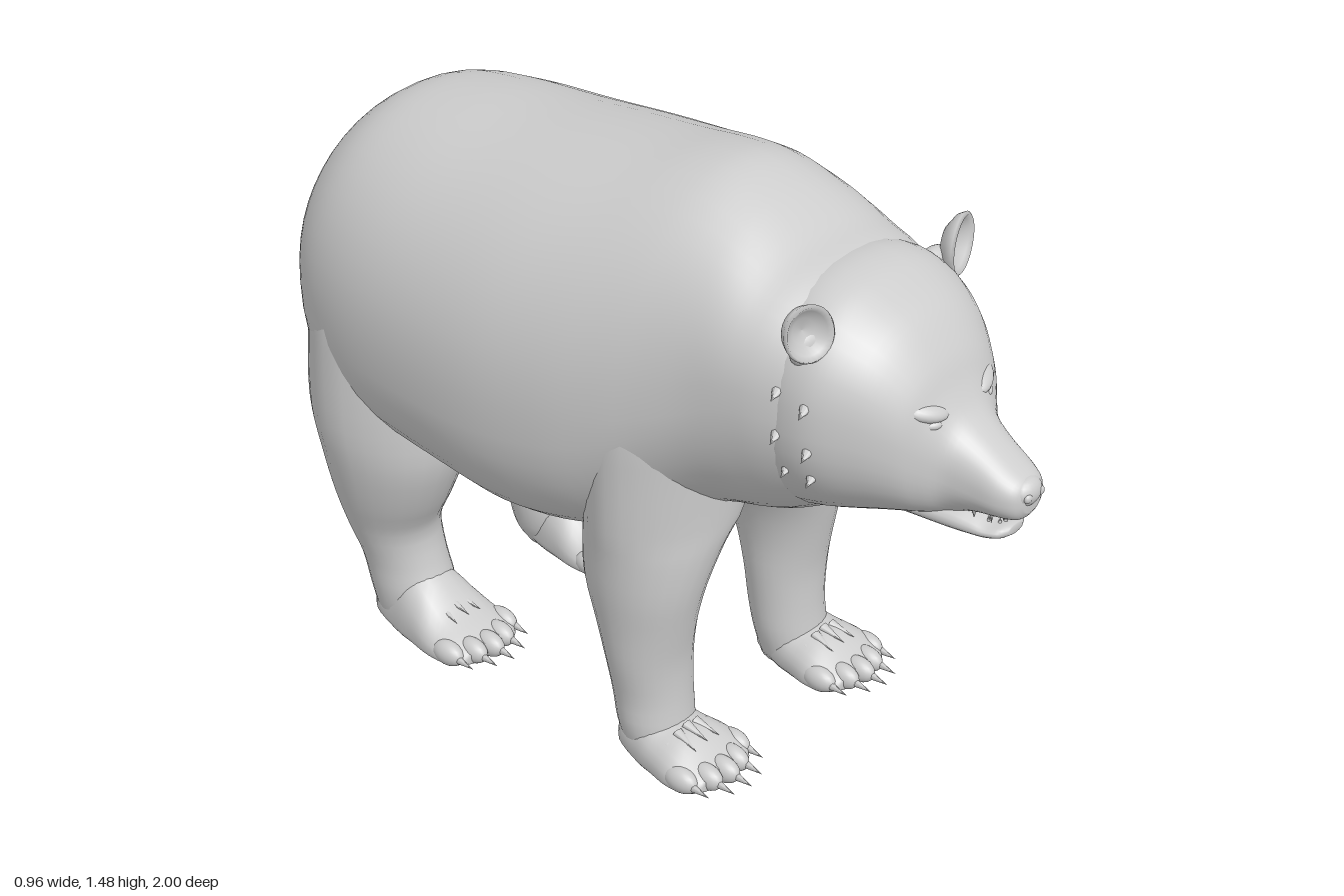
import * as THREE from 'three';

const fur = new THREE.MeshStandardMaterial({ color: 0xcccccc, side: THREE.DoubleSide });

// Smoothly interpolates rows of section numbers
function refine(rows, sub) {
  const out = [];
  for (let i = 0; i < rows.length - 1; i++) {
    const a = rows[Math.max(i - 1, 0)], b = rows[i], c = rows[i + 1], d = rows[Math.min(i + 2, rows.length - 1)];
    for (let k = 0; k < sub; k++) {
      const t = k / sub;
      out.push(b.map((_, n) => b[n] + 0.5 * t * (c[n] - a[n] +
        t * (2 * a[n] - 5 * b[n] + 4 * c[n] - d[n] + t * (3 * (b[n] - c[n]) + d[n] - a[n])))));
    }
  }
  out.push(rows[rows.length - 1]);
  return out;
}

// Skins rings of points and closes both ends
function skin(rows, segs, point) {
  const pos = [], idx = [], last = rows.length - 1;
  rows.forEach((r) => {
    for (let j = 0; j < segs; j++) pos.push(...point(r, (j / segs) * Math.PI * 2));
  });
  for (let i = 0; i < last; i++) {
    for (let j = 0; j < segs; j++) {
      const k = (j + 1) % segs, a = i * segs, b = a + segs;
      idx.push(a + j, a + k, b + k, a + j, b + k, b + j);
    }
  }
  [0, last].forEach((i) => {
    const c = pos.length / 3, mid = [0, 0, 0];
    for (let j = 0; j < segs; j++) for (let n = 0; n < 3; n++) mid[n] += pos[(i * segs + j) * 3 + n] / segs;
    pos.push(...mid);
    for (let j = 0; j < segs; j++) {
      const a = i * segs + j, b = i * segs + ((j + 1) % segs);
      idx.push(c, i ? a : b, i ? b : a);
    }
  });
  const g = new THREE.BufferGeometry();
  g.setAttribute('position', new THREE.Float32BufferAttribute(pos, 3));
  g.setIndex(idx);
  g.computeVertexNormals();
  return g;
}

// Rows along z: [z, top, bottom, halfWidth, heightOfWidest]; lower exponents give squarer sections
const round = () => 0.95;
const loftZ = (rows, { x = 0, segs = 40, upper = round, lower = round } = {}) =>
  skin(refine(rows, 4), segs, ([z, top, bot, w, mid], a) => {
    const s = Math.sin(a), c = Math.cos(a), e = s > 0 ? upper(z) : lower(z);
    return [x + w * Math.sign(c) * Math.abs(c) ** e,
      mid + Math.sign(s) * Math.abs(s) ** e * (s > 0 ? top - mid : mid - bot), z];
  });

// Exponent that changes gradually along z
const blend = (from, to, z0, z1) => (z) => THREE.MathUtils.lerp(from, to, THREE.MathUtils.smoothstep(z, z0, z1));

// Rows going up: [y, x, z, radiusX, radiusZ, inward shift of the rear half, of the front half]
const loftY = (rows, side) => skin(refine(rows, 3), 28, ([y, x, z, rx, rz, rear, fore], a) => {
  const s = Math.sin(a);
  return [side * (x - Math.abs(s) * (s > 0 ? rear : fore)) + rx * Math.cos(a), y, z - rz * s];
});

function add(parent, name, geo, p = [0, 0, 0], scale = [1, 1, 1], rot = [0, 0, 0]) {
  const m = new THREE.Mesh(geo, fur);
  m.name = name;
  m.position.set(...p);
  m.scale.set(...scale);
  m.rotation.set(...rot);
  parent.add(m);
}

const ball = new THREE.SphereGeometry(1, 20, 14);
const spike = new THREE.ConeGeometry(1, 1, 8).rotateX(Math.PI / 2);

// Paw from heel to toes, with claws and wrist fur; instep is the height over the ankle
function addPaw(parent, x, heel, length, instep) {
  const paw = new THREE.Group();
  paw.name = 'paw';
  const at = (t) => heel + length * t;
  add(paw, 'pawPad', loftZ([
    [at(0), 0.1, 0.045, 0.03, 0.07], [at(0.08), 0.14, 0.02, 0.07, 0.07], [at(0.32), instep, 0.004, 0.094, 0.06],
    [at(0.5), instep * 0.9, 0.004, 0.106, 0.058], [at(0.7), 0.128, 0.008, 0.118, 0.055],
    [at(0.88), 0.098, 0.018, 0.115, 0.055], [at(1), 0.08, 0.035, 0.085, 0.055],
  ], { x, segs: 24 }));
  for (let i = -2; i <= 2; i++) {
    const tx = x + i * 0.047, tz = at(1) - 0.012 * i * i;
    add(paw, 'toe', ball, [tx, 0.064, tz - 0.01], [0.028, 0.032, 0.048]);
    add(paw, 'claw', spike, [tx + i * 0.002, 0.06, tz + 0.05], [0.011, 0.013, 0.06], [0.1, 0, 0]);
    add(paw, 'wristTuft', spike, [x + i * 0.036, 0.128 - 0.006 * i * i, at(0.7)], [0.014, 0.01, 0.07], [0.25, i * 0.15, 0]);
  }
  parent.add(paw);
}

export function createModel() {
  const bear = new THREE.Group();
  bear.name = 'bear';

  // Trunk from rump to neck, fuller below along the flanks and flatter over the nape
  add(bear, 'body', loftZ([
    [-1, 1.0, 0.95, 0.05, 0.975], [-0.995, 1.075, 0.85, 0.135, 0.97], [-0.965, 1.18, 0.71, 0.235, 0.96],
    [-0.92, 1.255, 0.64, 0.305, 0.95], [-0.85, 1.33, 0.595, 0.368, 0.94], [-0.75, 1.385, 0.565, 0.418, 0.94],
    [-0.6, 1.405, 0.555, 0.457, 0.94], [-0.4, 1.415, 0.535, 0.478, 0.94], [-0.2, 1.435, 0.508, 0.478, 0.94],
    [-0.02, 1.455, 0.53, 0.45, 0.95], [0.12, 1.475, 0.59, 0.412, 0.97], [0.22, 1.474, 0.65, 0.38, 1.0],
    [0.32, 1.435, 0.69, 0.35, 1.04], [0.42, 1.375, 0.71, 0.328, 1.08], [0.5, 1.35, 0.745, 0.306, 1.08],
    [0.57, 1.315, 0.79, 0.272, 1.07], [0.64, 1.22, 0.86, 0.2, 1.05],
  ], { segs: 48, upper: blend(0.95, 0.82, 0.2, 0.42), lower: blend(0.8, 1, 0, 0.32) }));

  // Legs, blended into the shoulders and haunches
  for (const side of [1, -1]) {
    const front = new THREE.Group();
    front.name = side > 0 ? 'leftFrontLeg' : 'rightFrontLeg';
    add(front, 'foreleg', loftY([
      [0.04, 0.25, 0.18, 0.08, 0.085, 0, 0], [0.12, 0.25, 0.165, 0.097, 0.088, 0, 0], [0.2, 0.248, 0.153, 0.1, 0.092, 0, 0],
      [0.3, 0.252, 0.145, 0.11, 0.1, 0, 0], [0.4, 0.253, 0.138, 0.117, 0.123, 0, 0], [0.5, 0.246, 0.132, 0.133, 0.15, 0, 0],
      [0.6, 0.228, 0.137, 0.157, 0.163, 0, 0.015], [0.68, 0.2, 0.142, 0.192, 0.167, 0, 0.03], [0.82, 0.198, 0.145, 0.198, 0.168, 0, 0.03],
      [0.95, 0.2, 0.145, 0.196, 0.168, 0, 0.02], [1.08, 0.19, 0.14, 0.19, 0.155, 0, 0.02], [1.22, 0.16, 0.13, 0.15, 0.1, 0, 0],
    ], side));
    addPaw(front, side * 0.257, 0.09, 0.295, 0.155);
    bear.add(front);

    const hind = new THREE.Group();
    hind.name = side > 0 ? 'leftHindLeg' : 'rightHindLeg';
    add(hind, 'hindLeg', loftY([
      [0.02, 0.25, -0.65, 0.06, 0.05, 0, 0], [0.07, 0.25, -0.645, 0.09, 0.095, 0, 0], [0.14, 0.25, -0.65, 0.1, 0.113, 0, 0],
      [0.22, 0.252, -0.672, 0.101, 0.111, 0, 0], [0.32, 0.262, -0.693, 0.116, 0.12, 0, 0], [0.42, 0.27, -0.69, 0.14, 0.168, 0.02, 0],
      [0.54, 0.266, -0.69, 0.171, 0.217, 0.045, 0], [0.65, 0.252, -0.702, 0.196, 0.242, 0.06, 0], [0.8, 0.235, -0.71, 0.205, 0.252, 0.08, 0],
      [0.95, 0.215, -0.71, 0.205, 0.25, 0.09, 0], [1.1, 0.18, -0.7, 0.18, 0.2, 0.08, 0],
    ], side));
    addPaw(hind, side * 0.258, -0.735, 0.365, 0.21);
    bear.add(hind);
  }

  // Head tapering into the upper muzzle, broad and flat across the crown
  const head = new THREE.Group();
  head.name = 'head';
  add(head, 'skull', loftZ([
    [0.4, 1.33, 0.85, 0.24, 1.06], [0.5, 1.352, 0.775, 0.285, 1.06], [0.57, 1.345, 0.785, 0.292, 1.06],
    [0.63, 1.318, 0.803, 0.277, 1.06], [0.7, 1.272, 0.822, 0.235, 1.05], [0.76, 1.2, 0.835, 0.185, 1.02],
    [0.795, 1.135, 0.842, 0.143, 0.99], [0.83, 1.085, 0.855, 0.106, 0.965], [0.88, 1.047, 0.875, 0.087, 0.95],
    [0.94, 1.008, 0.885, 0.075, 0.94], [0.975, 0.985, 0.89, 0.057, 0.938], [0.99, 0.965, 0.91, 0.03, 0.935],
  ], { upper: () => 0.82 }));
  add(head, 'lowerJaw', loftZ([
    [0.72, 0.9, 0.825, 0.1, 0.86], [0.83, 0.89, 0.822, 0.082, 0.855], [0.875, 0.88, 0.825, 0.072, 0.85],
    [0.91, 0.866, 0.827, 0.063, 0.848], [0.94, 0.866, 0.833, 0.05, 0.85], [0.955, 0.862, 0.842, 0.025, 0.852],
  ], { segs: 24 }));
  add(head, 'nose', ball, [0, 0.953, 0.97], [0.045, 0.034, 0.03]);

  const earShape = new THREE.LatheGeometry([
    [0, -0.032], [0.035, -0.027], [0.06, -0.008], [0.068, 0.01], [0.062, 0.016], [0.052, 0.007], [0.03, -0.009], [0, -0.015],
  ].map(([r, y]) => new THREE.Vector2(r, y)), 28).rotateX(Math.PI / 2);

  for (const s of [1, -1]) {
    add(head, 'ear', earShape, [s * 0.262, 1.298, 0.585], [0.9, 1.08, 1], [-0.05, s * 0.25, -s * 0.65]);
    add(head, 'earBase', ball, [s * 0.215, 1.245, 0.56], [0.06, 0.055, 0.035]);
    add(head, 'eye', ball, [s * 0.098, 1.086, 0.794], [0.022, 0.011, 0.013], [0, s * 0.6, 0]);
    add(head, 'brow', ball, [s * 0.098, 1.112, 0.774], [0.055, 0.02, 0.03], [0.3, s * 0.6, s * 0.08]);
    add(head, 'nostril', ball, [s * 0.022, 0.952, 0.992], [0.012, 0.011, 0.008]);
    // Teeth along both lips
    for (let i = 0; i < 4; i++) {
      const x = s * (0.01 + i * 0.014), z = 0.945 - i * i * 0.007;
      add(head, 'upperTooth', spike, [x, 0.885, z], [0.007, 0.007, i === 2 ? 0.034 : 0.022], [Math.PI / 2, 0, 0]);
      add(head, 'lowerTooth', spike, [x * 0.8, 0.868, z - 0.012], [0.006, 0.006, i === 2 ? 0.028 : 0.018], [-Math.PI / 2, 0, 0]);
    }
    // Fur tufts around the cheek, pointing outward and down
    [[0.284, 1.15, 0.53], [0.28, 1.13, 0.6], [0.29, 1.05, 0.535], [0.28, 1.03, 0.61], [0.27, 0.965, 0.55], [0.262, 0.96, 0.61]]
      .forEach(([x, y, z]) => add(head, 'cheekTuft', spike, [s * x, y, z], [0.024, 0.022, 0.07], [0.7, s * 1.2, 0]));
  }
  bear.add(head);
  return bear;
}
